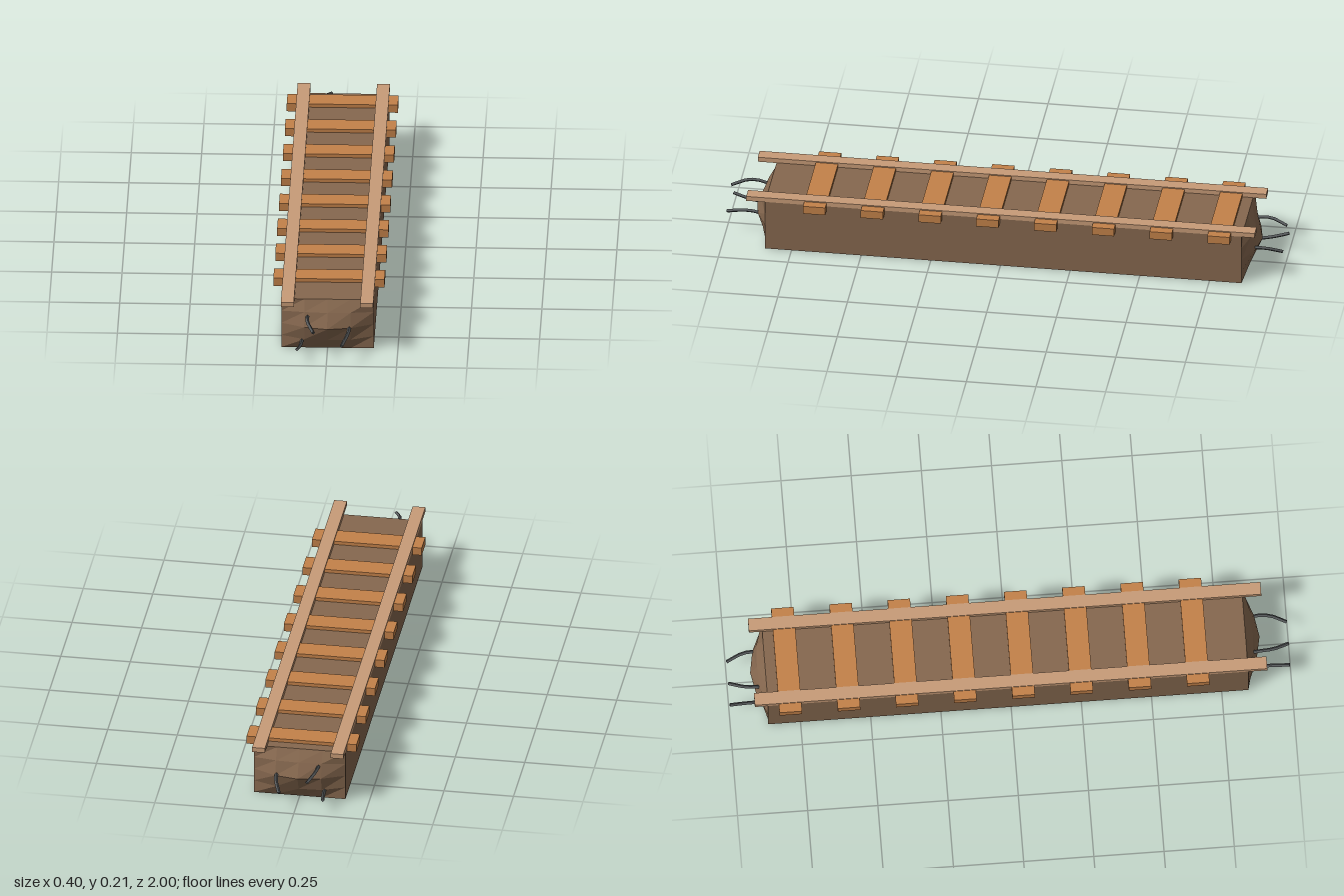
import * as THREE from 'three';

const mat = (color) => new THREE.MeshStandardMaterial({ color, flatShading: true });
const earthMat = mat(0x86684f);
const tieMat = mat(0xc4824a);
const railMat = mat(0xc89c78);
const steelMat = mat(0x55585a);

function add(parent, name, geometry, material, x = 0, y = 0, z = 0) {
  const mesh = new THREE.Mesh(geometry, material);
  mesh.name = name;
  mesh.position.set(x, y, z);
  parent.add(mesh);
  return mesh;
}

// Long block whose two ends bulge out in rough broken facets
function bedGeometry() {
  const W = 0.328, H = 0.19, L = 1.71;
  // outward depth of the inner 3 x 3 points, bottom row first
  const depth = [
    [0.022, 0.026, 0.02],
    [0.036, 0.052, 0.038],
    [0.022, 0.028, 0.024],
  ];
  const g = new THREE.BoxGeometry(W, H, L, 4, 4, 1);
  const p = g.attributes.position;
  for (let i = 0; i < p.count; i++) {
    const col = Math.round((p.getX(i) / W + 0.5) * 4) - 1;
    const row = Math.round((p.getY(i) / H + 0.5) * 4) - 1;
    const d = depth[row]?.[col];
    if (d) {
      p.setZ(i, p.getZ(i) + Math.sign(p.getZ(i)) * d);
      p.setY(i, p.getY(i) + (row - 1) * 0.006);
    }
  }
  const flat = g.toNonIndexed();
  flat.computeVertexNormals();
  return flat;
}

// Bent reinforcing bar: square section swept along a short curve
function barGeometry(points) {
  const curve = new THREE.CatmullRomCurve3(points.map((q) => new THREE.Vector3(...q)));
  return new THREE.TubeGeometry(curve, 6, 0.0065, 4, false);
}

export function createModel() {
  const model = new THREE.Group();
  model.name = 'trackSection';

  add(model, 'bed', bedGeometry(), earthMat, 0, 0.096, -0.01);

  // Cross ties
  const ties = new THREE.Group();
  ties.name = 'ties';
  model.add(ties);
  const tieGeo = new THREE.BoxGeometry(0.395, 0.03, 0.08);
  for (let i = 0; i < 8; i++) {
    add(ties, 'tie', tieGeo, tieMat, 0, 0.189, 0.664 - i * 0.2073);
  }

  // Rails
  const railGeo = new THREE.BoxGeometry(0.046, 0.018, 1.825);
  add(model, 'leftRail', railGeo, railMat, 0.141, 0.199, 0);
  add(model, 'rightRail', railGeo, railMat, -0.141, 0.199, 0);

  // Bent bars sticking out of both ends
  const bars = [
    [[-0.07, 0.125, 0.85], [-0.071, 0.141, 0.895], [-0.068, 0.143, 0.94], [-0.046, 0.129, 0.997]],
    [[0.076, 0.085, 0.85], [0.078, 0.1, 0.895], [0.074, 0.099, 0.94], [0.054, 0.079, 0.997]],
    [[-0.09, 0.036, 0.84], [-0.092, 0.041, 0.89], [-0.097, 0.052, 0.95], [-0.104, 0.064, 0.997]],
  ];
  const cap = new THREE.CircleGeometry(0.0065, 4);
  for (const side of [1, -1]) {
    const group = new THREE.Group();
    group.name = side > 0 ? 'frontBars' : 'backBars';
    model.add(group);
    for (const bar of bars) {
      const pts = bar.map(([x, y, z]) => [x, y, z * side]);
      add(group, 'bar', barGeometry(pts), steelMat);
      // close the free end, facing along the bar
      const tip = new THREE.Vector3(...pts[3]);
      const end = add(group, 'barTip', cap, steelMat, ...pts[3]);
      end.lookAt(tip.clone().multiplyScalar(2).sub(new THREE.Vector3(...pts[2])));
    }
  }
  return model;
}
